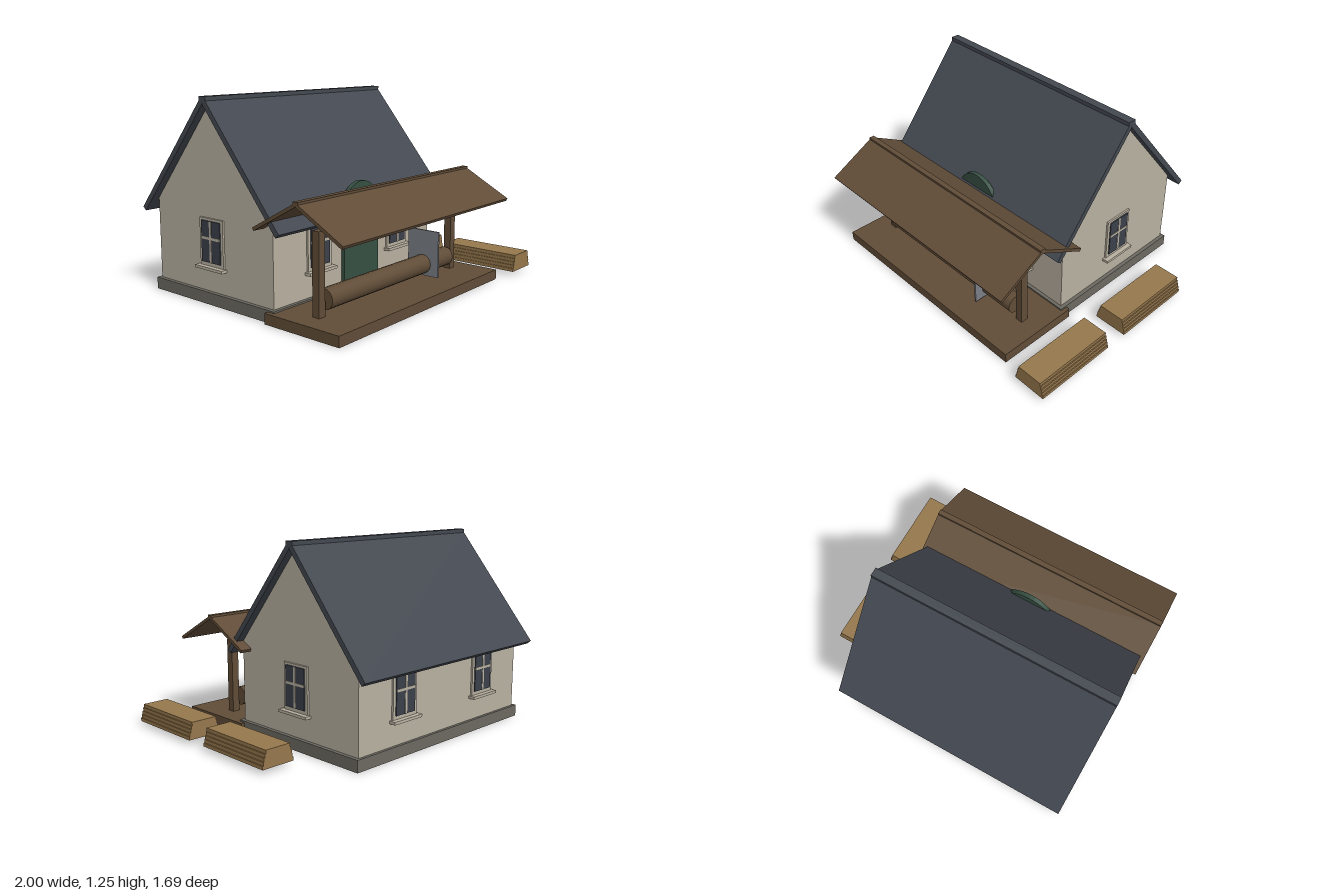
import * as THREE from 'three';

const mat = (name, color) => {
  const m = new THREE.MeshStandardMaterial({ color });
  m.name = name;
  return m;
};

export function createModel() {
  const root = new THREE.Group();
  root.name = 'sawmillHouse';
  const plaster = mat('plaster', 0xb8b0a0);
  const stone = mat('foundationStone', 0x6c6961);
  const slate = mat('roofSlate', 0x434850);
  const darkWood = mat('darkWood', 0x604c37);
  const lumber = mat('cutLumber', 0x95774c);
  const green = mat('doorGreen', 0x364f42);
  const glass = mat('windowGlass', 0x3b404a);
  const steel = mat('bladeSteel', 0x7a7e86);

  const add = (name, geo, material, parent = root) => {
    const m = new THREE.Mesh(geo, material);
    m.name = name;
    parent.add(m);
    return m;
  };
  // box given by its min and max on each axis
  const box = (name, x0, x1, y0, y1, z0, z1, material, parent) => {
    const m = add(name, new THREE.BoxGeometry(x1 - x0, y1 - y0, z1 - z0), material, parent);
    m.position.set((x0 + x1) / 2, (y0 + y1) / 2, (z0 + z1) / 2);
    return m;
  };
  // prism along x from a profile of [z, y] points
  const prism = (name, pts, x0, x1, material) => {
    const shape = new THREE.Shape(pts.map(([z, y]) => new THREE.Vector2(z, y)));
    const geo = new THREE.ExtrudeGeometry(shape, { depth: x1 - x0, bevelEnabled: false });
    geo.rotateY(-Math.PI / 2).translate(x1, 0, 0);
    return add(name, geo, material);
  };
  // two sloping slabs and a ridge cap; the underside runs from ridge to eave
  const gableRoof = (name, x0, x1, zc, ridgeY, run, eaveY, thick, cap, material) => {
    const drop = ridgeY - eaveY, len = Math.hypot(run, drop);
    const nz = drop / len * thick, ny = run / len * thick;
    for (const s of [1, -1]) {
      prism(name + (s > 0 ? 'FrontSlab' : 'BackSlab'), [
        [zc, ridgeY], [zc + s * run, eaveY],
        [zc + s * (run + nz), eaveY + ny], [zc + s * nz, ridgeY + ny],
      ], x0, x1, material);
    }
    box(name + 'RidgeCap', x0, x1, ridgeY + 0.005, cap.top, zc - cap.half, zc + cap.half, material);
  };

  // House body
  const ZC = -0.24, XC = -0.167;
  box('foundation', -0.945, 0.61, 0, 0.075, -0.765, 0.29, stone);
  prism('houseWalls', [
    [-0.747, 0.075], [0.267, 0.075], [0.267, 0.592], [ZC, 1.205], [-0.747, 0.592],
  ], -0.92, 0.585, plaster);
  gableRoof('houseRoof', -0.972, 0.636, ZC, 1.205, 0.578, 0.508, 0.034, { top: 1.25, half: 0.028 }, slate);

  // Arched door
  const door = new THREE.Shape();
  door.moveTo(-0.168, 0.075);
  door.lineTo(0.168, 0.075);
  door.lineTo(0.168, 0.549);
  door.absarc(0, 0.549, 0.168, 0, Math.PI, false);
  door.closePath();
  add('door', new THREE.ExtrudeGeometry(door, { depth: 0.03, bevelEnabled: false, curveSegments: 8 }), green)
    .position.set(XC, 0, 0.258);

  // Windows: local +z points out of the wall
  const addWindow = (name, x, z, angle) => {
    const g = new THREE.Group();
    g.name = name;
    box('windowFrame', -0.103, 0.103, 0.235, 0.528, -0.01, 0.012, plaster, g);
    box('windowPane', -0.082, 0.082, 0.259, 0.513, 0.012, 0.019, glass, g);
    box('verticalBar', -0.008, 0.008, 0.259, 0.513, 0.018, 0.022, plaster, g);
    box('horizontalBar', -0.082, 0.082, 0.4, 0.416, 0.018, 0.022, plaster, g);
    box('windowSill', -0.12, 0.12, 0.218, 0.236, -0.01, 0.043, plaster, g);
    g.position.set(x, 0, z);
    g.rotation.y = angle;
    root.add(g);
  };
  for (const x of [-0.545, 0.21]) {
    addWindow('frontWindow', x, 0.267, 0);
    addWindow('backWindow', x, -0.747, Math.PI);
  }
  addWindow('leftWindow', 0.585, ZC, Math.PI / 2);
  addWindow('rightWindow', -0.92, ZC, -Math.PI / 2);

  // Open work porch
  const PZ = 0.515;
  box('porchDeck', -0.972, 0.636, 0, 0.065, 0.242, 0.792, darkWood);
  for (const x of [-0.82, 0.485]) {
    box('porchPost', x - 0.025, x + 0.025, 0.065, 0.553, PZ - 0.025, PZ + 0.025, darkWood);
  }
  gableRoof('porchRoof', -1, 0.662, PZ, 0.708, 0.318, 0.534, 0.02, { top: 0.735, half: 0.018 }, darkWood);

  // Log and saw blade
  const log = add('log', new THREE.CylinderGeometry(0.062, 0.062, 1.21, 16), darkWood);
  log.rotation.z = Math.PI / 2;
  log.position.set(-0.17, 0.155, PZ);
  box('sawBlade', 0.175, 0.187, 0.08, 0.378, 0.402, 0.632, steel);

  // Stacks of planks, each layer a little narrower
  for (const [z0, z1] of [[0.285, 0.843], [-0.42, 0.135]]) {
    const stack = new THREE.Group();
    stack.name = 'plankStack';
    for (let i = 0; i < 5; i++) {
      const half = 0.1125 - i * 0.0062, y = 0.028 + i * 0.022;
      box('plankLayer', 0.8875 - half, 0.8875 + half, y, y + 0.022, z0, z1, lumber, stack);
    }
    root.add(stack);
  }
  return root;
}
